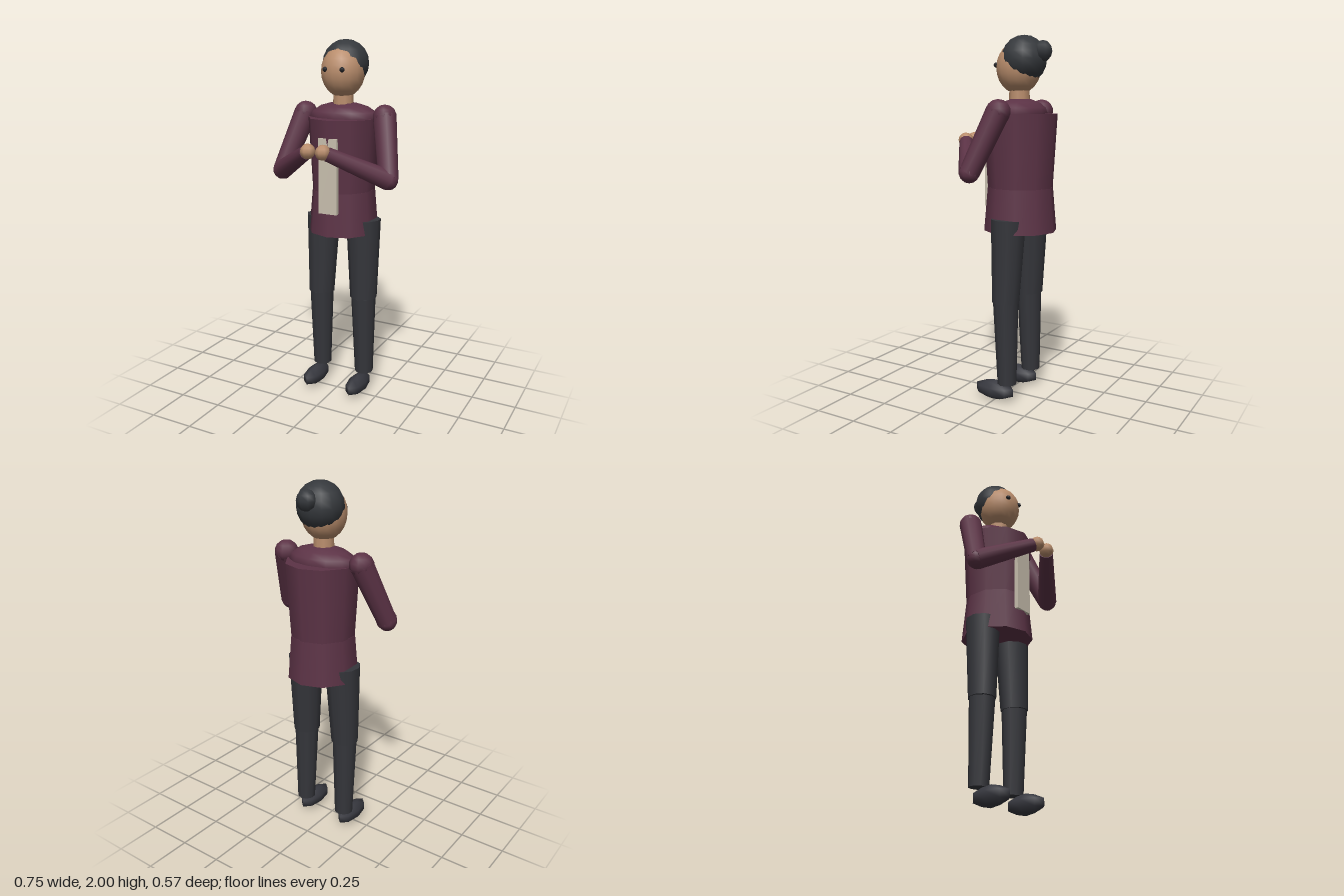
import * as THREE from 'three';

const mat = (name, color) => {
  const m = new THREE.MeshStandardMaterial({ color });
  m.name = name;
  return m;
};

export function createModel() {
  const root = new THREE.Group();
  root.name = 'standingFigure';

  const maroon = mat('maroon cloth', 0x5c3346);
  const trousers = mat('charcoal trousers', 0x35363b);
  const shoe = mat('dark shoe', 0x36373e);
  const hair = mat('dark hair', 0x35383c);
  const skin = mat('skin', 0xb98d6c);
  const cream = mat('cream panel', 0xc9c0af);
  const eye = mat('eye', 0x232327);

  const add = (name, geometry, material, pos, scale = [1, 1, 1]) => {
    const mesh = new THREE.Mesh(geometry, material);
    mesh.name = name;
    mesh.position.set(...pos);
    mesh.scale.set(...scale);
    root.add(mesh);
    return mesh;
  };

  const ball = (name, material, pos, radii, w = 12, h = 8) =>
    add(name, new THREE.SphereGeometry(1, w, h), material, pos, radii);

  // Tapered limb from point a to point b
  const limb = (name, material, a, b, ra, rb, sides = 10) => {
    const from = new THREE.Vector3(...a), to = new THREE.Vector3(...b);
    const dir = to.clone().sub(from);
    const geometry = new THREE.CylinderGeometry(rb, ra, dir.length(), sides);
    const mesh = add(name, geometry, material, from.add(to).multiplyScalar(0.5).toArray());
    mesh.quaternion.setFromUnitVectors(new THREE.Vector3(0, 1, 0), dir.normalize());
  };

  // Torso, tunic skirt and rounded shoulders
  const band = (name, y0, y1, r0, r1) => add(name,
    new THREE.CylinderGeometry(r1, r0, y1 - y0, 10), maroon,
    [0, (y0 + y1) / 2, -0.083], [0.97, 1, 1]);
  band('torso', 1.195, 1.59, 0.18, 0.203);
  band('tunicSkirt', 0.957, 1.195, 0.202, 0.181);
  ball('shoulders', maroon, [0, 1.59, -0.083], [0.2, 0.083, 0.13]);

  // Cream front panel
  add('frontPanel', new THREE.BoxGeometry(0.108, 0.41, 0.024), cream, [0, 1.29, 0.1]);

  // Head, neck, hair and bun
  add('neck', new THREE.CylinderGeometry(0.054, 0.058, 0.12, 10), skin, [0, 1.675, -0.075]);
  ball('head', skin, [0, 1.833, -0.07], [0.118, 0.138, 0.122], 16, 12);
  ball('hair', hair, [0, 1.875, -0.103], [0.126, 0.126, 0.122], 14, 10);
  ball('bun', hair, [0, 1.915, -0.214], [0.053, 0.055, 0.051], 8, 6);

  // Shoe outline, turned and then stretched lengthwise
  const shoeProfile = [[0, -1], [0.5, -0.78], [1, -0.35], [1, 0.35], [0.5, 0.78], [0, 1]]
    .map(([x, y]) => new THREE.Vector2(x, y));

  for (const s of [1, -1]) {
    const side = s > 0 ? 'left' : 'right';
    ball(side + 'Eye', eye, [s * 0.05, 1.847, 0.04], [0.014, 0.014, 0.014], 8, 6);

    // Arm, bent so the hands meet in front of the chest
    const shoulder = [s * 0.24, 1.605, -0.085];
    const elbow = [s * 0.322, 1.292, 0.04];
    const wrist = [s * 0.062, 1.435, 0.228];
    ball(side + 'Shoulder', maroon, shoulder, [0.064, 0.062, 0.066], 10, 7);
    limb(side + 'UpperArm', maroon, shoulder, elbow, 0.064, 0.054);
    ball(side + 'Elbow', maroon, elbow, [0.054, 0.054, 0.054], 10, 7);
    limb(side + 'Forearm', maroon, elbow, wrist, 0.056, 0.038);
    ball(side + 'Hand', skin, [s * 0.044, 1.444, 0.242], [0.041, 0.041, 0.043], 8, 6);

    // Leg and shoe
    const knee = [s * 0.135, 0.575, -0.068];
    limb(side + 'Thigh', trousers, [s * 0.125, 1.032, -0.08], knee, 0.097, 0.076);
    limb(side + 'Shin', trousers, knee, [s * 0.138, 0.11, -0.078], 0.07, 0.053);
    add(side + 'Shoe', new THREE.LatheGeometry(shoeProfile, 8), shoe,
      [s * 0.138, 0.058, 0.003], [0.052, 0.058, 0.118]);
  }
  return root;
}
